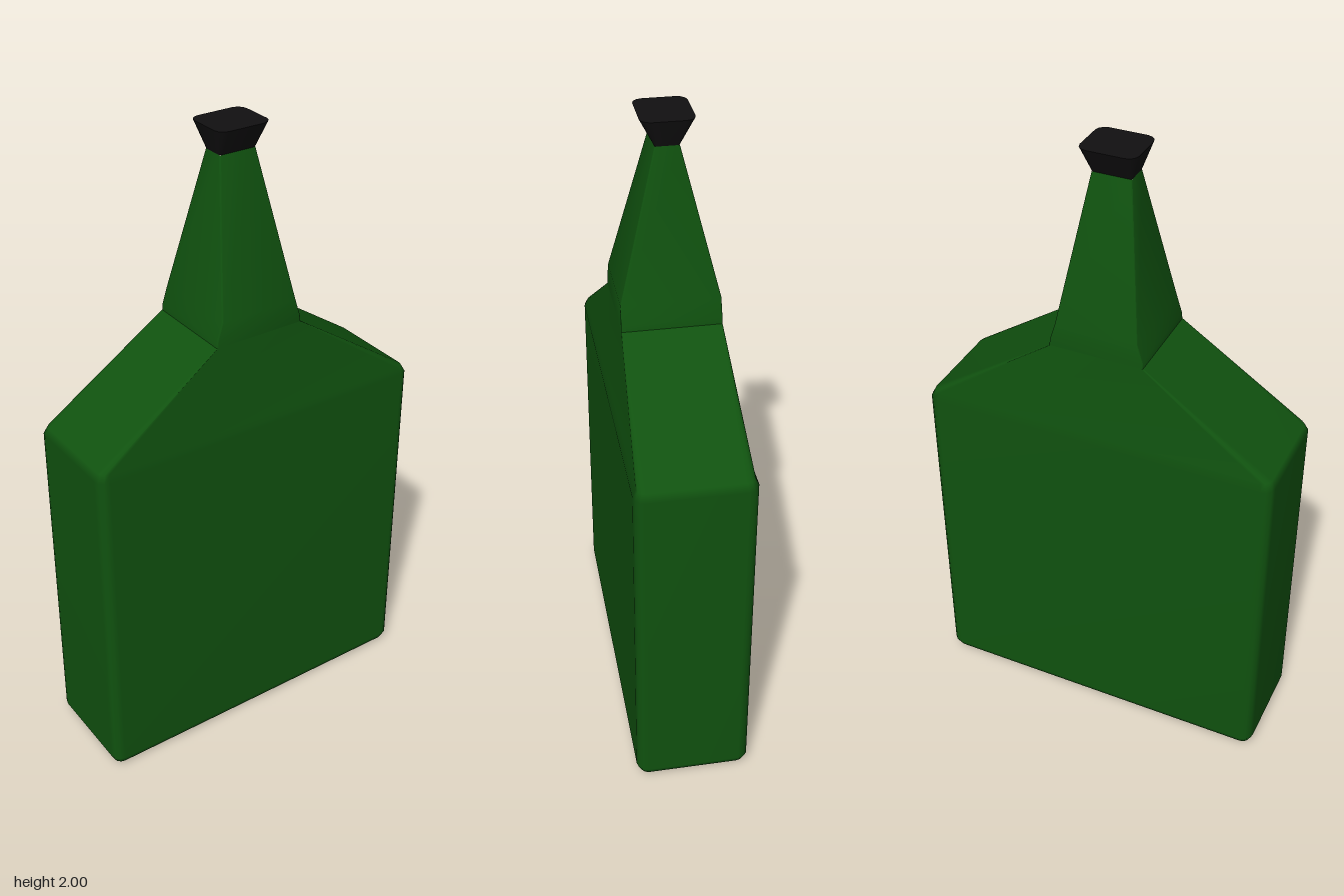
import * as THREE from 'three';
import { toCreasedNormals } from 'three/addons/utils/BufferGeometryUtils.js';

// Corner points of one rounded rectangle, counter-clockwise from above
function ring([y, hx, hz, r]) {
  const points = [];
  for (let corner = 0; corner < 4; corner++) {
    const sx = corner === 0 || corner === 3 ? 1 : -1;
    const sz = corner < 2 ? -1 : 1;
    for (let step = 0; step < 4; step++) {
      const a = (corner + step / 3) * Math.PI / 2;
      points.push(sx * (hx - r) + r * Math.cos(a), y, sz * (hz - r) - r * Math.sin(a));
    }
  }
  return points;
}

// Skin over sections of [y, half width, half depth, corner radius]
function loft(sections, closeBottom, closeTop) {
  const n = 16, pos = sections.flatMap(ring), index = [];
  for (let k = 0; k < sections.length - 1; k++) {
    for (let i = 0; i < n; i++) {
      const a = k * n + i, b = k * n + (i + 1) % n;
      index.push(a, b, b + n, a, b + n, a + n);
    }
  }
  const last = (sections.length - 1) * n;
  for (const [close, y, base] of [[closeBottom, sections[0][0], 0], [closeTop, sections.at(-1)[0], last]]) {
    if (!close) continue;
    const centre = pos.length / 3;
    pos.push(0, y, 0);
    for (let i = 0; i < n; i++) {
      const a = base + i, b = base + (i + 1) % n;
      if (base === 0) index.push(centre, b, a);
      else index.push(centre, a, b);
    }
  }
  const geometry = new THREE.BufferGeometry();
  geometry.setAttribute('position', new THREE.Float32BufferAttribute(pos, 3));
  geometry.setIndex(index);
  geometry.computeVertexNormals();
  return geometry;
}

export function createModel() {
  const model = new THREE.Group();
  const glass = new THREE.MeshStandardMaterial({ color: 0x10520f });
  const black = new THREE.MeshStandardMaterial({ color: 0x111011 });
  const add = (name, geometry, material) => {
    const mesh = new THREE.Mesh(geometry, material);
    mesh.name = name;
    model.add(mesh);
  };

  // Flat bevelled body with sloping shoulders
  add('body', loft([
    [0, 0.535, 0.148, 0.012],
    [0.01, 0.553, 0.166, 0.025],
    [0.035, 0.565, 0.178, 0.034],
    [1.105, 0.565, 0.178, 0.034],
    [1.128, 0.553, 0.168, 0.028],
    [1.4, 0.148, 0.147, 0.004],
  ], true, false), glass);

  // Tapering square neck with a short collar
  add('neck', toCreasedNormals(loft([
    [1.4, 0.148, 0.147, 0.004],
    [1.42, 0.146, 0.147, 0.004],
    [1.475, 0.129, 0.146, 0.004],
    [1.92, 0.06, 0.035, 0.004],
  ], false, false), 0.6), glass);

  // Flared stopper
  add('stopper', toCreasedNormals(loft([
    [1.92, 0.06, 0.035, 0.006],
    [2, 0.087, 0.077, 0.03],
  ], true, true), 0.6), black);

  return model;
}
